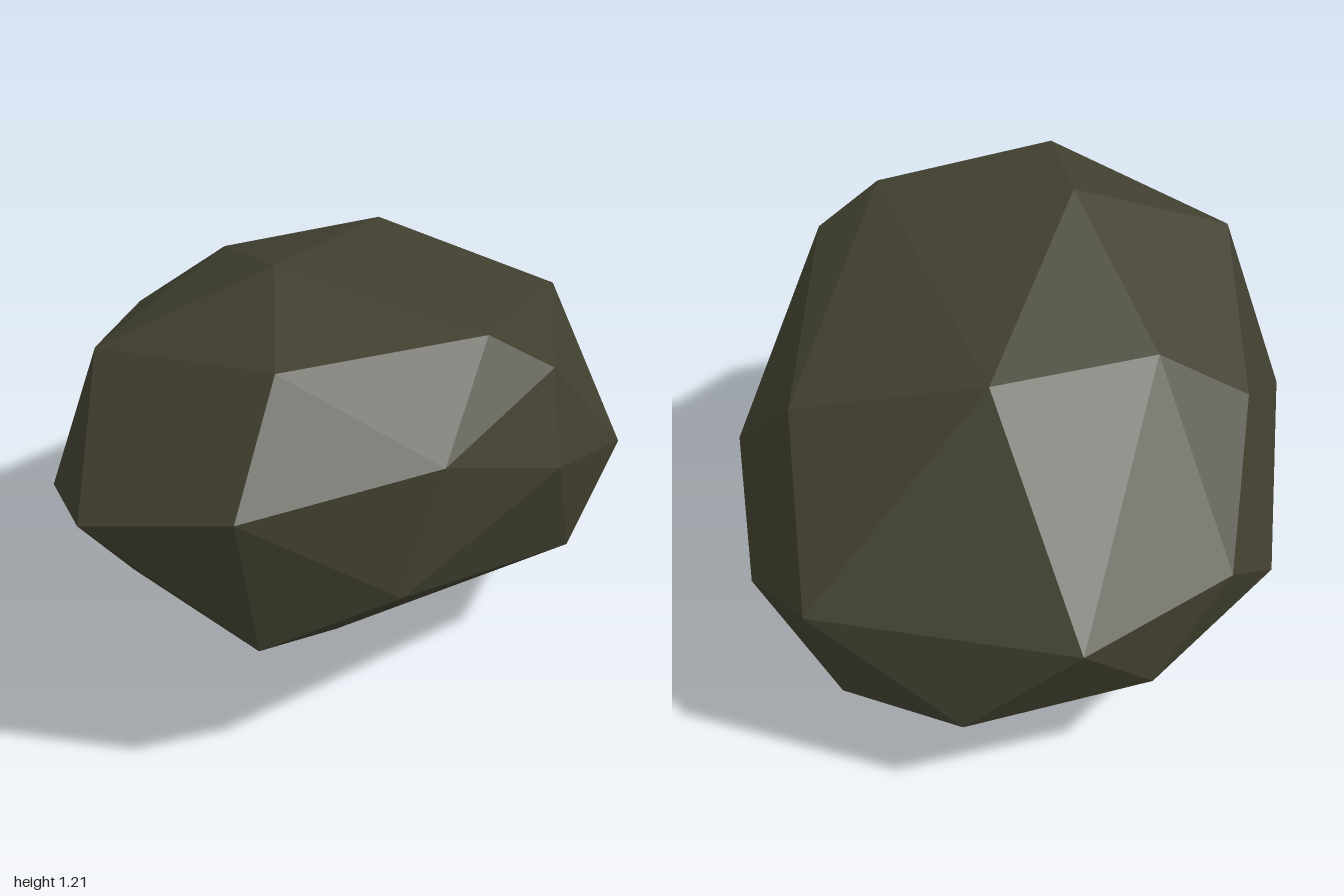
import * as THREE from 'three';
import { ConvexGeometry } from 'three/addons/geometries/ConvexGeometry.js';

// Corner points of the faceted boulder, grouped by region
const CORNERS = [
  // crown
  [-0.58, 1.13, 0.33], [-0.25, 1.205, 0.03], [-0.08, 1.13, 0.61], [0.07, 1.01, 0.72],
  [0.47, 1.03, -0.19], [0.06, 1.0, -0.45], [-0.63, 1.01, -0.27], [0.69, 0.885, 0.31],
  // front
  [-0.41, 0.94, 0.73], [0, 0.77, 0.805], [-0.53, 0.6, 0.7], [0.54, 0.54, 0.67],
  [0.23, 0.355, 0.71], [0.77, 0.26, 0.45],
  // right-hand end (-x)
  [-1, 0.77, 0.04], [-0.87, 0.89, 0.455], [-0.79, 0.46, 0.45], [-0.62, 0.31, -0.19],
  [-0.655, 0.5, -0.47],
  // left-hand end (+x)
  [1, 0.52, 0.03], [0.96, 0.27, -0.05], [0.87, 0.25, -0.38], [0.7, 0.51, -0.64],
  // back
  [-0.13, 0.83, -0.63], [0.23, 0.525, -0.805], [-0.05, 0.33, -0.79], [0.48, 0.29, -0.72],
  // underside
  [0.77, 0.09, 0.06], [0.22, 0, 0.27], [-0.21, 0.06, 0.22], [0.29, 0.025, -0.47],
  [-0.04, 0.065, -0.43],
];

export function createModel() {
  const group = new THREE.Group();
  group.name = 'rock';

  const stone = new THREE.MeshStandardMaterial({ color: 0x403f2f });
  stone.name = 'dark olive stone';
  stone.flatShading = true;

  // Single flat-faceted stone body
  const points = CORNERS.map(([x, y, z]) => new THREE.Vector3(x, y, z));
  const boulder = new THREE.Mesh(new ConvexGeometry(points), stone);
  boulder.name = 'boulder';
  group.add(boulder);

  return group;
}
